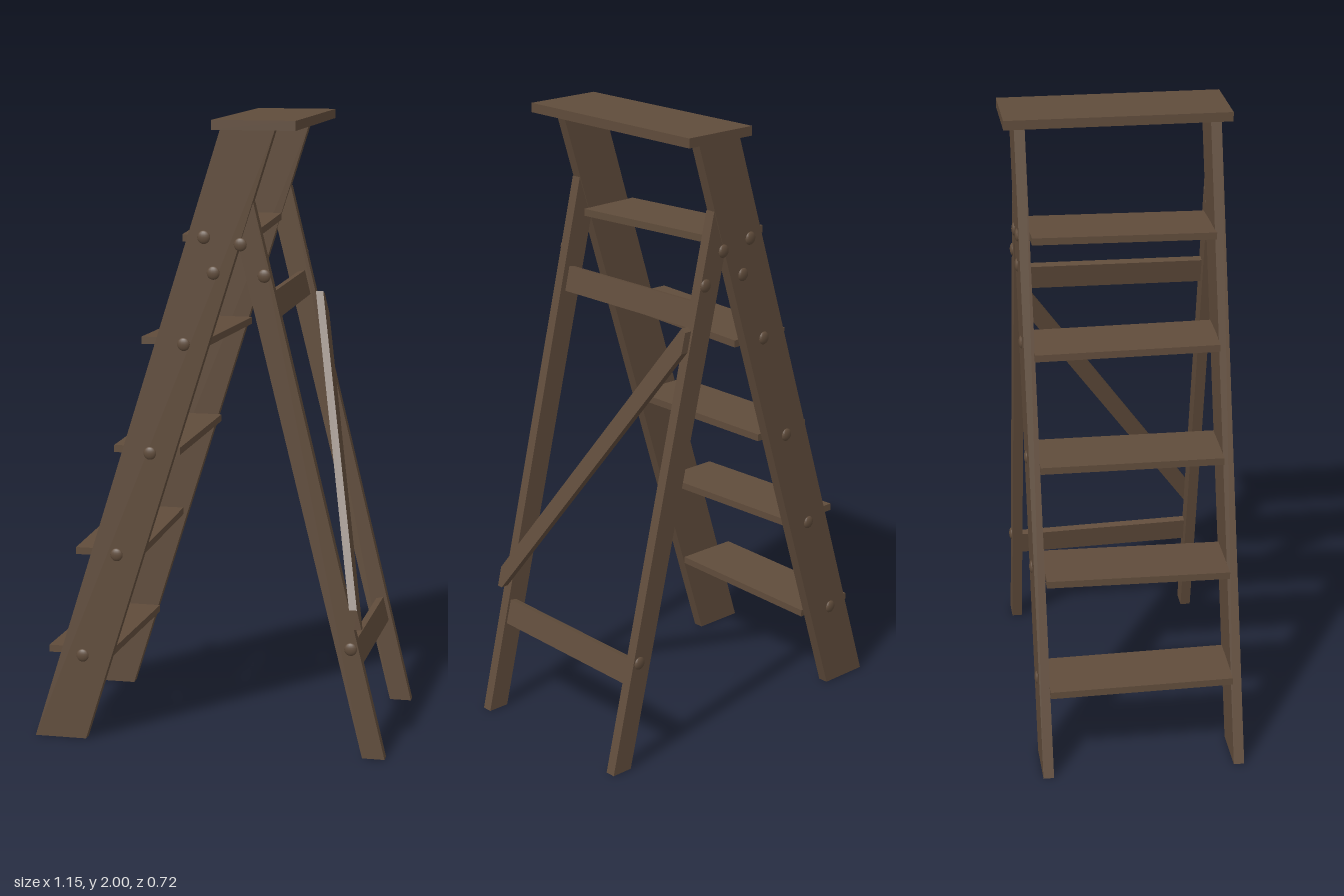
import * as THREE from 'three';

const wood = new THREE.MeshStandardMaterial({ color: 0x604c3b });
wood.name = 'dark wood';

const LEAN = 0.244; // backward slope of the rear legs, x per y

function add(parent, name, geometry, x = 0, y = 0, z = 0) {
  const mesh = new THREE.Mesh(geometry, wood);
  mesh.name = name;
  mesh.position.set(x, y, z);
  parent.add(mesh);
  return mesh;
}

// flat board cut from a 2D outline
function board(points, depth) {
  const shape = new THREE.Shape(points.map(([x, y]) => new THREE.Vector2(x, y)));
  return new THREE.ExtrudeGeometry(shape, { depth, bevelEnabled: false });
}

export function createModel() {
  const group = new THREE.Group();
  group.name = 'stepladder';

  // top platform
  add(group, 'topPlatform', new THREE.BoxGeometry(0.26, 0.03, 0.72), 0.152, 1.985, 0);

  // front stiles and rear legs, one frame on each side
  const stile = board([[-0.575, 0], [-0.405, 0], [0.212, 1.972], [0.042, 1.972]], 0.034);
  const leg = board([[0.5, 0], [0.572, 0], [0.145, 1.75], [0.1, 1.61]], 0.034);
  const bolt = new THREE.SphereGeometry(0.021, 14, 10);
  const bolts = [
    [-0.01, 1.64], [0.02, 1.53], [0.105, 1.62], [0.18, 1.525], [-0.075, 1.305],
    [-0.185, 0.955], [-0.297, 0.62], [-0.413, 0.28], [0.46, 0.355],
  ];
  for (const side of [1, -1]) {
    const frame = new THREE.Group();
    frame.name = side > 0 ? 'leftFrame' : 'rightFrame';
    group.add(frame);
    const z = side > 0 ? 0.292 : -0.326;
    add(frame, 'stile', stile, 0, 0, z);
    add(frame, 'rearLeg', leg, 0, 0, z);
    for (const [x, y] of bolts) add(frame, 'bolt', bolt, x, y, side * 0.325).scale.z = 0.45;
  }

  // treads: front edge x, height, sideways tilt, twist
  const treads = [
    [-0.53, 0.28, 0.012, -0.01],
    [-0.44, 0.622, -0.008, 0],
    [-0.308, 0.958, 0, -0.005],
    [-0.209, 1.302, 0.012, -0.02],
    [-0.093, 1.64, -0.014, 0.017],
  ];
  const tread = new THREE.BoxGeometry(0.215, 0.023, 0.584);
  for (const [x, y, tilt, twist] of treads) {
    const mesh = add(group, 'tread', tread, x + 0.1075, y, 0);
    mesh.rotation.set(-tilt / 0.58, twist / 0.58, 0);
  }

  // cross rails between the rear legs
  const rail = new THREE.BoxGeometry(0.025, 0.082, 0.59);
  for (const [x, y, tilt] of [[0.47, 0.325, 0.015], [0.192, 1.425, -0.004]]) {
    add(group, 'rearRail', rail, x, y, 0).rotation.set(-tilt / 0.58, 0, Math.atan(LEAN));
  }

  // diagonal brace lying on the back of the rear legs
  const brace = board([
    [0.33, 0.42], [0.33, 0.483], [-0.3, 1.4], [-0.318, 1.39], [-0.318, 1.325], [0.31, 0.42],
  ], 0.025);
  brace.rotateY(-Math.PI / 2);
  brace.applyMatrix4(new THREE.Matrix4().set(1, -LEAN, 0, 0, 0, 1, 0, 0, 0, 0, 1, 0, 0, 0, 0, 1));
  brace.computeVertexNormals();
  add(group, 'diagonalBrace', brace, 0.597, 0, 0);

  return group;
}
